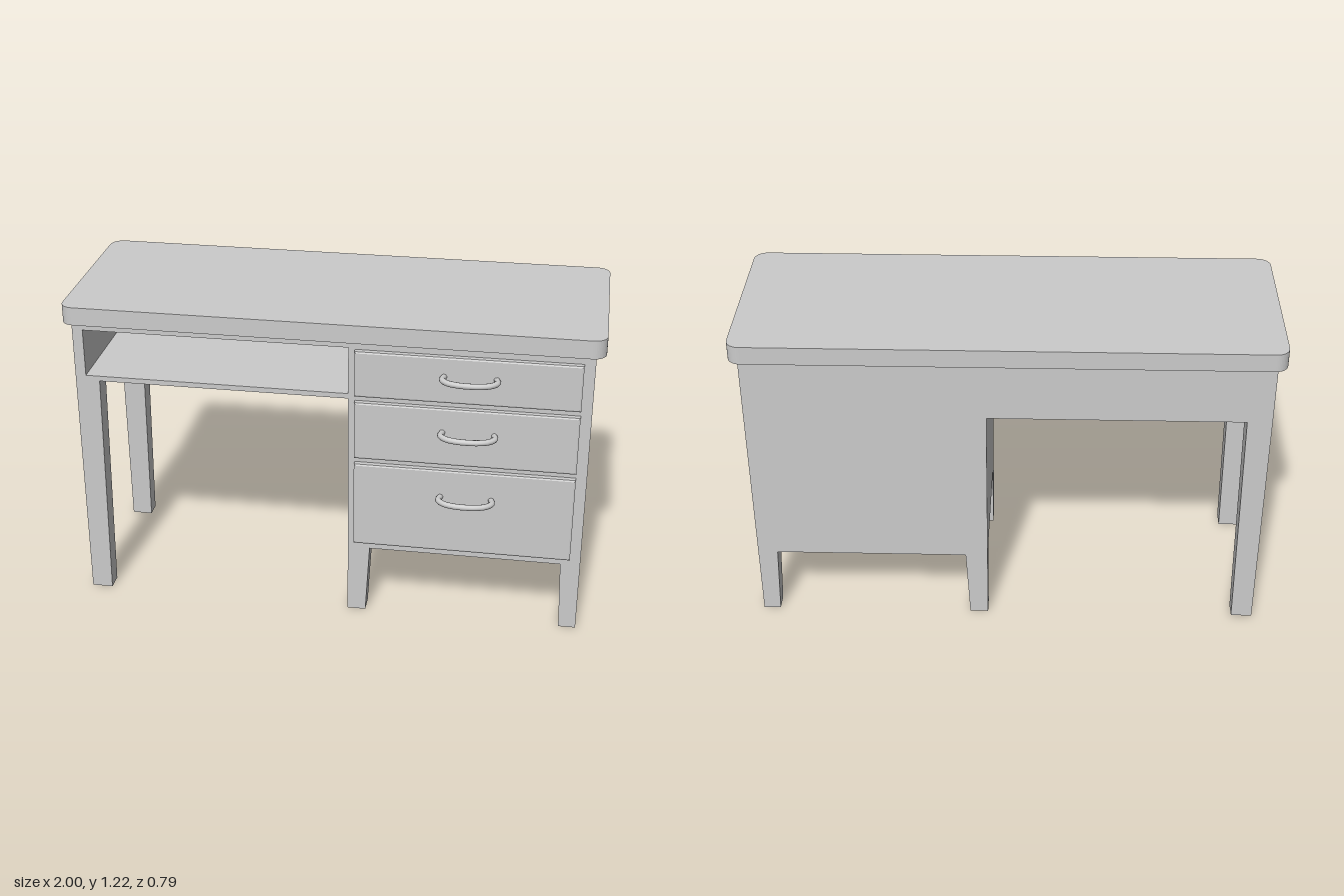
import * as THREE from 'three';

const FRONT = 0.295, BACK = -0.365, SIDE = 0.965, INNER = 0.075, TOP = 1.15;

export function createModel() {
  const desk = new THREE.Group();
  desk.name = 'desk';
  const material = new THREE.MeshStandardMaterial({ color: 0xcccccc });

  const add = (name, geometry, parent = desk) => {
    const mesh = new THREE.Mesh(geometry, material);
    mesh.name = name;
    parent.add(mesh);
    return mesh;
  };

  // box given by its limits on each axis
  const box = (name, x0, x1, y0, y1, z0, z1) =>
    add(name, new THREE.BoxGeometry(x1 - x0, y1 - y0, z1 - z0))
      .position.set((x0 + x1) / 2, (y0 + y1) / 2, (z0 + z1) / 2);

  // tabletop: slab with rounded corners
  const r = 0.05, z0 = -0.325, z1 = 0.395; // shape y becomes -z
  const slab = new THREE.Shape();
  slab.moveTo(-1 + r, z0);
  slab.lineTo(1 - r, z0);
  slab.absarc(1 - r, z0 + r, r, -Math.PI / 2, 0);
  slab.absarc(1 - r, z1 - r, r, 0, Math.PI / 2);
  slab.absarc(-1 + r, z1 - r, r, Math.PI / 2, Math.PI);
  slab.absarc(-1 + r, z0 + r, r, Math.PI, Math.PI * 1.5);
  const slabGeometry = new THREE.ExtrudeGeometry(slab, { depth: 0.07, bevelEnabled: false, curveSegments: 6 });
  slabGeometry.rotateX(-Math.PI / 2);
  add('tabletop', slabGeometry).position.y = TOP;

  // drawer pedestal
  box('pedestal', INNER, SIDE, 0.28, TOP, BACK, FRONT);

  // open compartment over the knee space
  const frame = new THREE.Shape([
    [INNER, 0.915], [INNER, 0.935], [-0.925, 0.935], [-0.925, 1.12],
    [INNER, 1.12], [INNER, TOP], [-SIDE, TOP], [-SIDE, 0.915],
  ].map(([x, y]) => new THREE.Vector2(x, y)));
  const frameGeometry = new THREE.ExtrudeGeometry(frame, { depth: FRONT - BACK, bevelEnabled: false });
  add('compartment', frameGeometry).position.z = BACK;
  box('compartmentBack', -0.925, INNER, 0.935, 1.12, BACK, BACK + 0.03);

  // legs: outer faces upright, inner faces tapering towards the foot
  const leg = (name, x, dirX, z, dirZ, height, [wTop, wFoot], [dTop, dFoot]) => {
    const geometry = new THREE.BoxGeometry(1, height, 1).translate(0, height / 2, 0);
    const p = geometry.attributes.position;
    for (let i = 0; i < p.count; i++) {
      const top = p.getY(i) > height / 2;
      const w = top ? wTop : wFoot, d = top ? dTop : dFoot;
      p.setX(i, x + (p.getX(i) * dirX > 0 ? dirX * w : 0));
      p.setZ(i, z + (p.getZ(i) * dirZ > 0 ? dirZ * d : 0));
    }
    geometry.computeVertexNormals();
    add(name, geometry);
  };
  for (const [end, z, dirZ, depth] of [
    ['Front', FRONT, -1, [0.077, 0.068]],
    ['Back', BACK, 1, [0.082, 0.064]],
  ]) {
    leg(`kneeSpace${end}Leg`, -SIDE, 1, z, dirZ, 0.915, [0.092, 0.08], depth);
    leg(`pedestalInner${end}Leg`, INNER, 1, z, dirZ, 0.28, [0.085, 0.07], depth);
    leg(`pedestalOuter${end}Leg`, SIDE, -1, z, dirZ, 0.28, [0.075, 0.065], depth);
  }

  // drawer fronts with a narrow bevel, and bow handles
  const bow = new THREE.CatmullRomCurve3([
    [-0.095, 0.315], [-0.1, 0.345], [-0.078, 0.37], [-0.04, 0.383], [0, 0.386],
    [0.04, 0.383], [0.078, 0.37], [0.1, 0.345], [0.095, 0.315],
  ].map(([x, z]) => new THREE.Vector3(x, 0, z)));
  const handleGeometry = new THREE.TubeGeometry(bow, 32, 0.011, 10);
  const b = 0.006;
  for (const [name, y0, y1, handleY] of [
    ['bottom', 0.312, 0.655, 0.545],
    ['middle', 0.68, 0.91, 0.815],
    ['top', 0.935, 1.115, 1.04],
  ]) {
    const drawer = new THREE.Group();
    drawer.name = `${name}Drawer`;
    desk.add(drawer);
    const panel = new THREE.Shape([
      [0.1 + b, y0 + b], [0.925 - b, y0 + b], [0.925 - b, y1 - b], [0.1 + b, y1 - b],
    ].map(([x, y]) => new THREE.Vector2(x, y)));
    const panelGeometry = new THREE.ExtrudeGeometry(panel, {
      depth: 0.02, bevelSize: b, bevelThickness: 0.003, bevelSegments: 1,
    });
    add(`${name}DrawerFront`, panelGeometry, drawer).position.z = FRONT;
    add(`${name}DrawerHandle`, handleGeometry, drawer).position.set(0.523, handleY, 0);
  }

  return desk;
}
